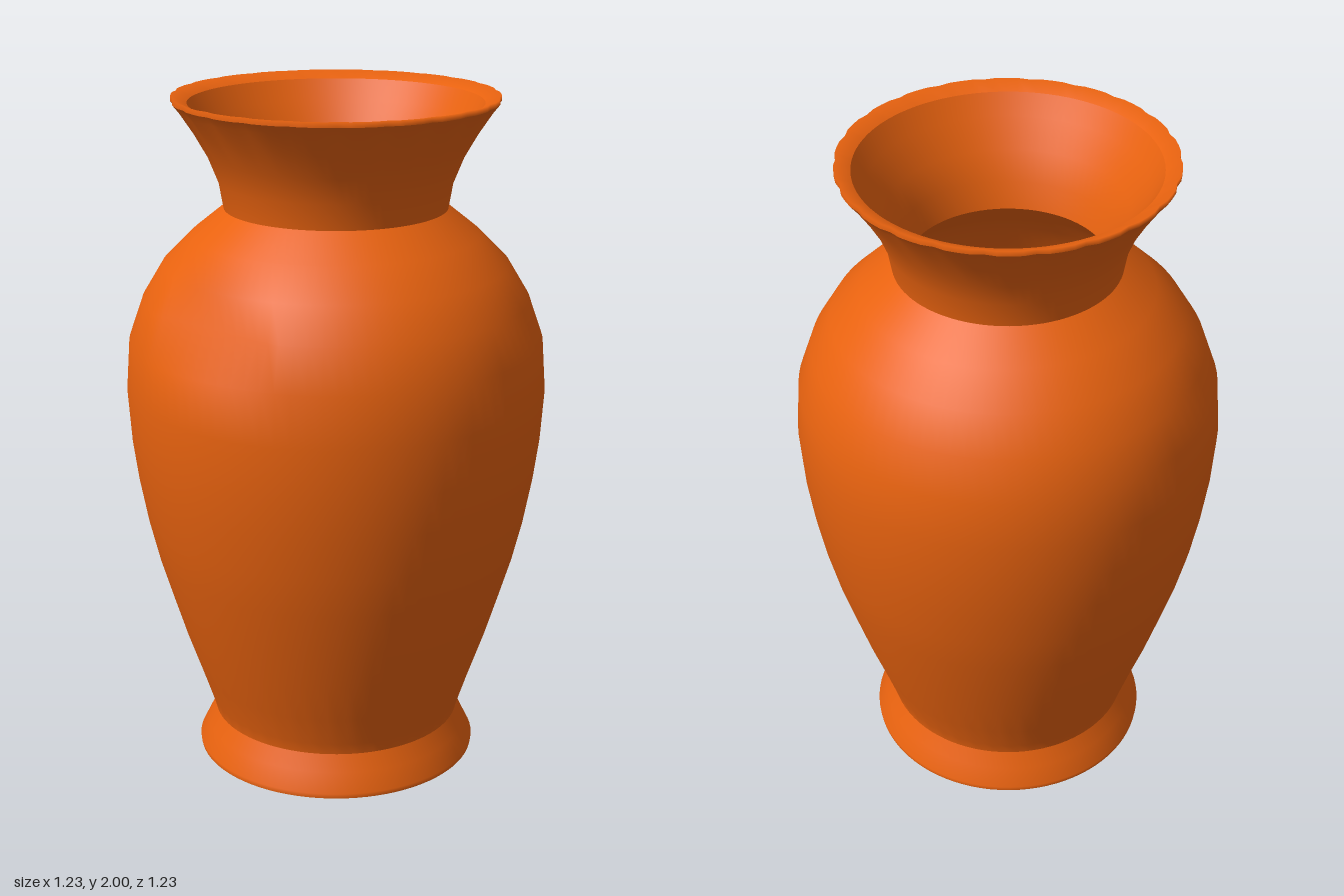
import * as THREE from 'three';
import { mergeVertices } from 'three/addons/utils/BufferGeometryUtils.js';

const SEGMENTS = 88;
const material = new THREE.MeshStandardMaterial({ color: 0xe8620f, roughness: 0.8, side: THREE.DoubleSide });

// Revolve a [radius, y] profile, then optionally move its vertices by a rule
function turned(name, profile, rule) {
  const points = profile.map(([r, y]) => new THREE.Vector2(r, y));
  let geometry = new THREE.LatheGeometry(points, SEGMENTS);
  if (rule) {
    const pos = geometry.attributes.position;
    const v = new THREE.Vector3();
    for (let i = 0; i < pos.count; i++) {
      v.fromBufferAttribute(pos, i);
      rule(v, Math.floor(i / profile.length) % SEGMENTS);
      pos.setXYZ(i, v.x, v.y, v.z);
    }
  }
  // Weld the seam so the surface shades smoothly all round
  geometry.deleteAttribute('uv');
  geometry.deleteAttribute('normal');
  geometry = mergeVertices(geometry, 1e-5);
  geometry.computeVertexNormals();
  const mesh = new THREE.Mesh(geometry, material);
  mesh.name = name;
  return mesh;
}

function scaleRadius(v, s) {
  v.x *= s;
  v.z *= s;
}

export function createModel() {
  const vase = new THREE.Group();
  vase.name = 'vase';

  // Flat underside and flared foot
  vase.add(turned('underside', [[0, 0], [0.42, 0]]));
  vase.add(turned('foot', [[0.42, 0], [0.422, 0.015], [0.395, 0.07], [0.372, 0.12]]));

  // Body: shallow flutes above the foot and a flat cut in the right shoulder
  vase.add(turned('body', [
    [0.372, 0.12], [0.382, 0.155], [0.413, 0.25], [0.458, 0.38], [0.495, 0.5], [0.534, 0.63],
    [0.563, 0.75], [0.587, 0.88], [0.603, 1.0], [0.613, 1.15], [0.602, 1.3], [0.56, 1.42],
    [0.5, 1.52], [0.415, 1.605], [0.322, 1.68],
  ], (v, i) => {
    if (v.y > 0.14 && v.y < 0.2 && i % 2) scaleRadius(v, 0.985);
    if (v.y > 1.4) v.x = Math.max(v.x, -0.51);
  }));

  // Flared neck with a finely rippled lip
  vase.add(turned('neck', [
    [0.322, 1.68], [0.335, 1.755], [0.365, 1.83], [0.405, 1.9], [0.445, 1.96], [0.465, 1.985],
  ], (v, i) => {
    if (v.y > 1.95 && i % 4 === 0) scaleRadius(v, 0.988);
  }));
  vase.add(turned('lip', [[0.465, 1.985], [0.465, 2], [0.42, 1.98]], (v, i) => {
    if (v.y > 1.982 && i % 4 === 0) scaleRadius(v, 0.988);
  }));

  // Hollow interior
  vase.add(turned('neckInside', [
    [0.42, 1.98], [0.385, 1.92], [0.335, 1.84], [0.3, 1.76], [0.28, 1.68],
  ]));
  vase.add(turned('bodyInside', [
    [0.28, 1.68], [0.37, 1.595], [0.45, 1.51], [0.495, 1.42], [0.56, 1.3], [0.573, 1.15],
    [0.563, 1.0], [0.523, 0.75], [0.455, 0.5], [0.375, 0.25], [0.33, 0.13], [0.25, 0.07], [0, 0.05],
  ]));

  return vase;
}
